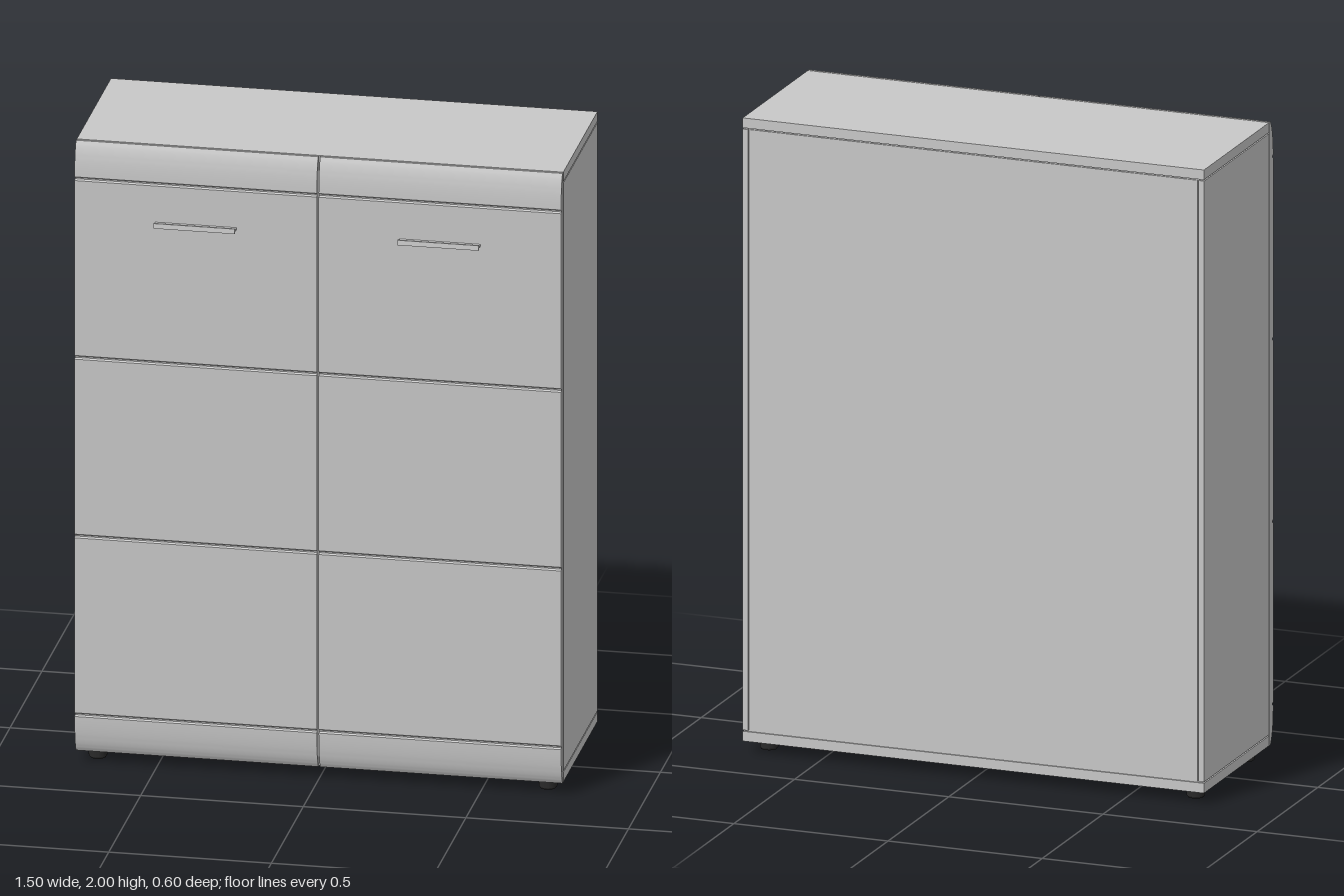
import * as THREE from 'three';
import { toCreasedNormals } from 'three/addons/utils/BufferGeometryUtils.js';

export function createModel() {
  const cabinet = new THREE.Group();
  cabinet.name = 'cabinet';

  const mat = (name, color) => {
    const m = new THREE.MeshStandardMaterial({ color });
    m.name = name;
    return m;
  };
  const grey = mat('body grey', 0xc8c8c8);
  const metal = mat('handle metal', 0xd2d2d2);
  const black = mat('foot black', 0x2a2a2a);

  const add = (name, geometry, material) => {
    const mesh = new THREE.Mesh(geometry, material);
    mesh.name = name;
    cabinet.add(mesh);
    return mesh;
  };
  // Box given by its lower and upper limits
  const box = (name, x0, x1, y0, y1, z0, z1) =>
    add(name, new THREE.BoxGeometry(x1 - x0, y1 - y0, z1 - z0), grey)
      .position.set((x0 + x1) / 2, (y0 + y1) / 2, (z0 + z1) / 2);
  // Side profile (z, y) swept across the width from x0 to x1
  const sweep = (shape, x0, x1) => {
    const g = new THREE.ExtrudeGeometry(shape, { depth: x1 - x0, bevelEnabled: false, curveSegments: 14 });
    g.rotateY(-Math.PI / 2).translate(x1, 0, 0);
    return toCreasedNormals(g, 0.35);
  };

  const W = 0.748, BACK = -0.298, FRONT = 0.237, BOTTOM = 0.037, TOP = 2, T = 0.031;

  // Carcass: slabs and sides with fine shadow joints around a recessed core
  box('topPanel', -W, W, TOP - T, TOP, BACK, FRONT);
  box('bottomPanel', -W, W, BOTTOM, BOTTOM + T, BACK, FRONT);
  box('core', -W + 0.006, W - 0.006, BOTTOM + T, TOP - T, BACK + 0.005, FRONT - 0.004);
  for (const s of [-1, 1]) {
    const a = s * W, b = s * (W - 0.018);
    box(s > 0 ? 'leftSide' : 'rightSide', Math.min(a, b), Math.max(a, b),
      BOTTOM + T + 0.004, TOP - T - 0.004, BACK, FRONT);
  }
  box('backPanel', -W + 0.021, W - 0.021, BOTTOM + T + 0.004, TOP - T - 0.004, BACK + 0.001, BACK + 0.01);

  // Door profile: rounded ends and four shallow horizontal grooves
  const Z0 = 0.241, Z1 = 0.273;
  const door = new THREE.Shape();
  door.moveTo(Z0, BOTTOM);
  door.lineTo(0.249, BOTTOM);
  door.quadraticCurveTo(Z1 - 0.002, 0.065, Z1, 0.154);
  for (const y of [0.16, 0.735, 1.31, 1.885]) {
    door.lineTo(Z1, y - 0.006);
    door.lineTo(Z1 - 0.006, y - 0.002);
    door.lineTo(Z1 - 0.006, y + 0.002);
    door.lineTo(Z1, y + 0.006);
  }
  door.quadraticCurveTo(Z1 - 0.002, 1.972, 0.249, TOP);
  door.lineTo(Z0, TOP);
  door.closePath();
  add('rightDoor', sweep(door, -W, -0.003), grey);
  add('leftDoor', sweep(door, 0.003, W), grey);

  // Handles: thin plate ending in a raised lip
  const grip = new THREE.Shape([
    [0.27, 1.757], [0.294, 1.757], [0.294, 1.752], [0.3, 1.752],
    [0.3, 1.768], [0.294, 1.768], [0.294, 1.763], [0.27, 1.763],
  ].map(([z, y]) => new THREE.Vector2(z, y)));
  add('rightHandle', sweep(grip, -0.5, -0.25), metal);
  add('leftHandle', sweep(grip, 0.25, 0.5), metal);

  // Round feet with a chamfered base
  const foot = new THREE.LatheGeometry([
    [0, 0], [0.024, 0], [0.028, 0.006], [0.029, 0.038], [0, 0.038],
  ].map(([r, y]) => new THREE.Vector2(r, y)), 24);
  const footGeometry = toCreasedNormals(foot, 0.5);
  for (const x of [-0.692, 0.692])
    for (const z of [-0.222, 0.19]) add('foot', footGeometry, black).position.set(x, 0, z);

  return cabinet;
}
